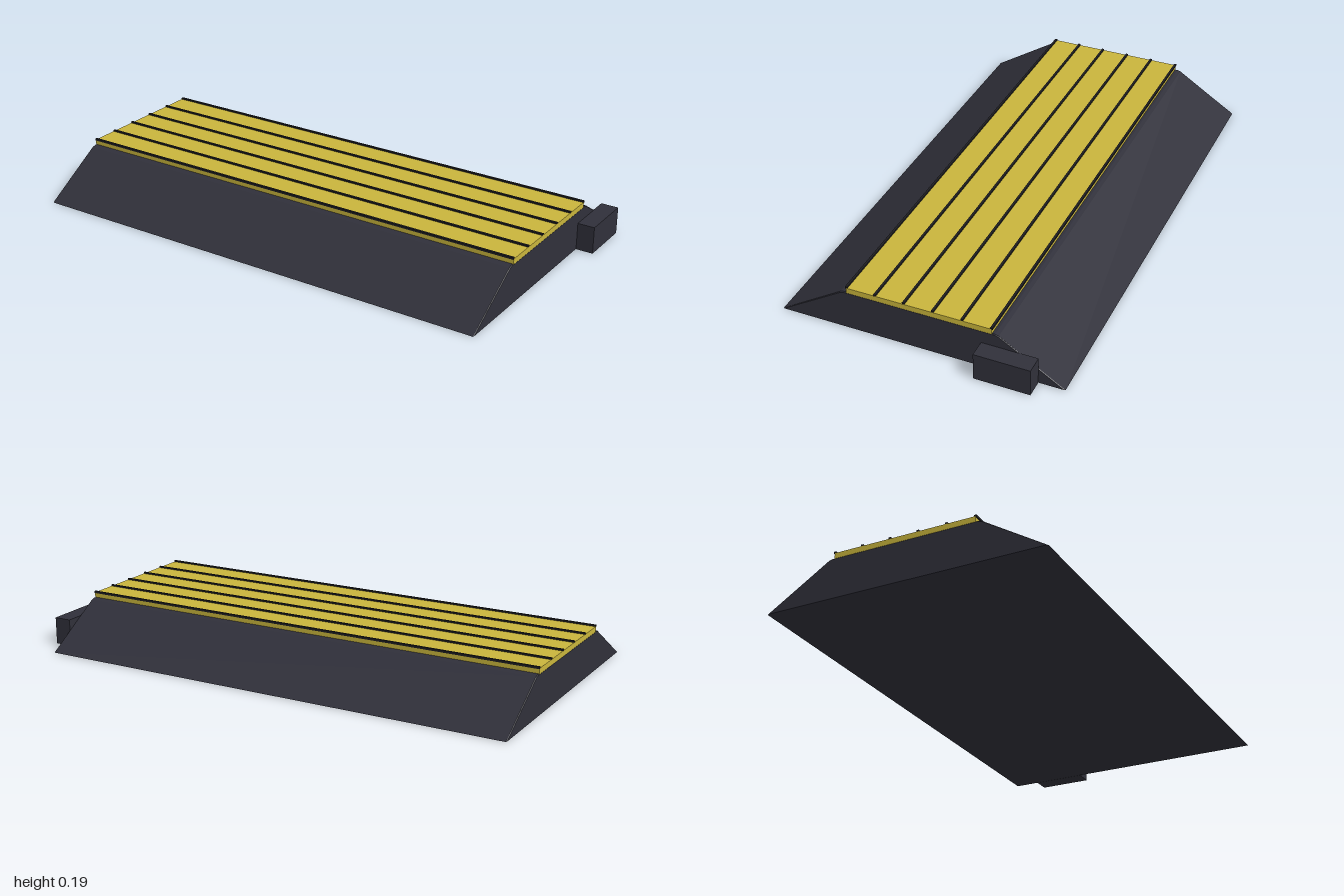
import * as THREE from 'three';

export function createModel() {
  const model = new THREE.Group();
  const mat = (name, color) => {
    const m = new THREE.MeshStandardMaterial({ color });
    m.name = name;
    return m;
  };
  const charcoal = mat('charcoal', 0x30303a);
  const yellow = mat('yellow', 0xc9b53c);
  const black = mat('black', 0x1e1e22);

  const xMin = -1, xMax = 0.932;
  const length = xMax - xMin, midX = (xMin + xMax) / 2;

  const addBox = (name, size, pos, material) => {
    const mesh = new THREE.Mesh(new THREE.BoxGeometry(...size), material);
    mesh.name = name;
    mesh.position.set(...pos);
    model.add(mesh);
  };

  // Ramp body: sloped cross-section with softened edges, run along x
  const half = [[0.553, 0], [0.306, 0.156], [0.292, 0.16]];
  const outline = [...half, ...half.map(([z, y]) => [-z, y]).reverse()];
  const bevel = 0.003;
  const rampGeometry = new THREE.ExtrudeGeometry(
    new THREE.Shape(outline.map(([z, y]) => new THREE.Vector2(z, y))),
    { depth: length - 2 * bevel, bevelThickness: bevel, bevelSize: bevel, bevelOffset: -bevel, bevelSegments: 1 }
  );
  rampGeometry.rotateY(Math.PI / 2).translate(xMin + bevel, 0, 0);
  const ramp = new THREE.Mesh(rampGeometry, charcoal);
  ramp.name = 'rampBody';
  model.add(ramp);

  // Tread plate on top
  addBox('treadPlate', [length, 0.022, 0.562], [midX, 0.169, 0], yellow);

  // Grip ribs across the tread
  for (let i = 0; i < 6; i++) {
    addBox('gripRib', [length, 0.008, 0.009], [midX, 0.182, -0.28 + i * 0.112], black);
  }

  // End block
  addBox('endBlock', [1 - xMax + 0.002, 0.108, 0.213], [(1 + xMax - 0.002) / 2, 0.054, -0.3465], charcoal);

  return model;
}
